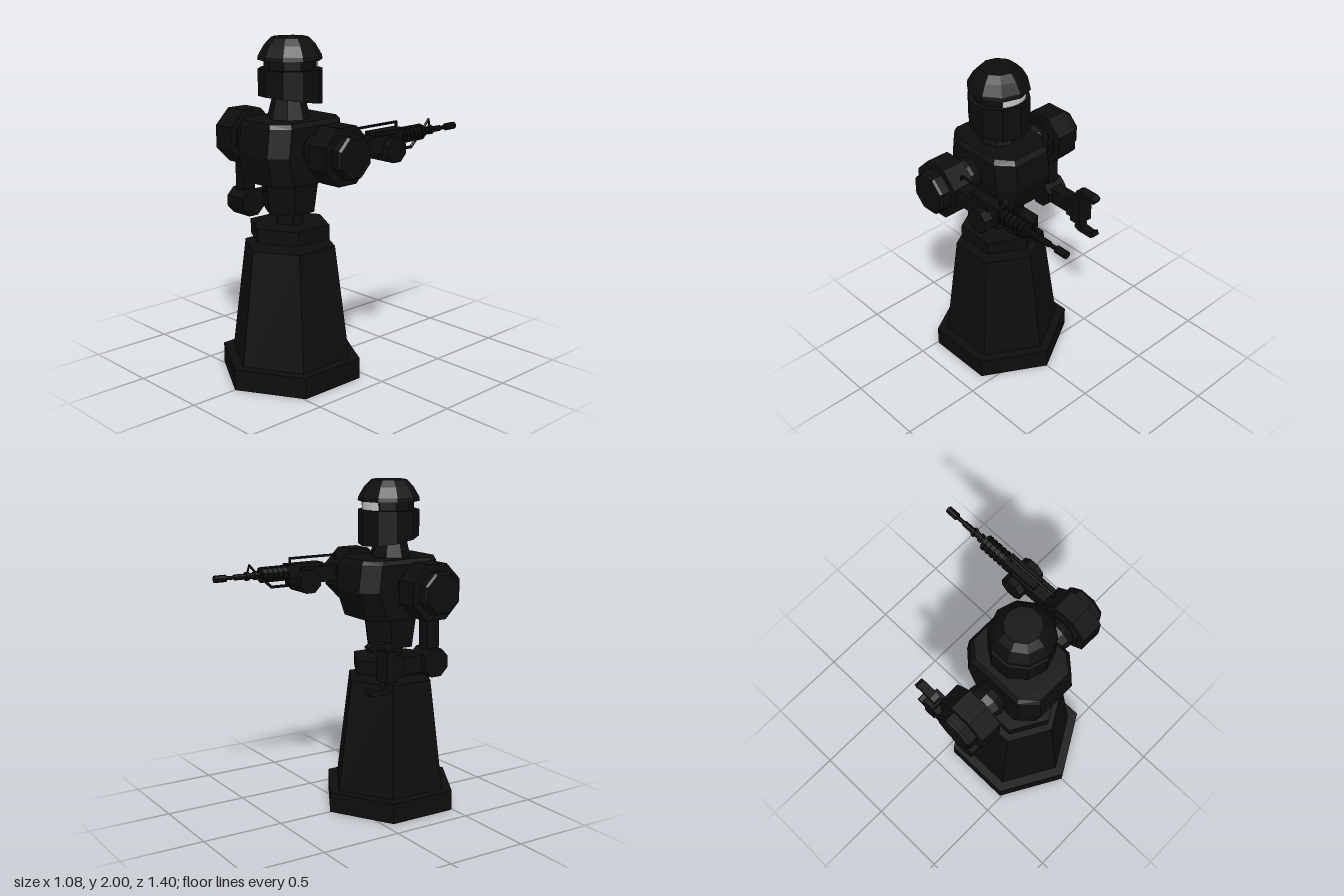
import * as THREE from 'three';
import { ConvexGeometry } from 'three/addons/geometries/ConvexGeometry.js';

const V = (x, y, z) => new THREE.Vector3(x, y, z);

export function createModel() {
  const black = new THREE.MeshStandardMaterial({ color: 0x0d0d0d, flatShading: true });
  black.name = 'black metal';
  const pale = new THREE.MeshStandardMaterial({ color: 0xc8c8c8, side: THREE.DoubleSide });
  pale.name = 'pale visor';

  const model = new THREE.Group();
  model.name = 'sentryRobot';
  const AXIS = 0.275; // z of the body's vertical axis

  function add(name, geo, x = 0, y = 0, z = 0, parent = model, mat = black) {
    const m = new THREE.Mesh(geo, mat);
    m.name = name;
    m.position.set(x, y, z);
    parent.add(m);
    return m;
  }
  function group(name) {
    const g = new THREE.Group();
    g.name = name;
    model.add(g);
    return g;
  }
  // Upright prism or frustum between two heights
  function column(name, y0, y1, r0, r1, sides = 6, z = AXIS, parent = model) {
    return add(name, new THREE.CylinderGeometry(r1, r0, y1 - y0, sides), 0, (y0 + y1) / 2, z, parent);
  }
  // Drum along x, with flats on top and in front
  function drumX(name, x, y, z, r, len, parent, sides = 8, r2 = r) {
    const g = new THREE.CylinderGeometry(r2, r, len, sides);
    g.rotateY(Math.PI / sides).rotateZ(-Math.PI / 2);
    return add(name, g, x, y, z, parent);
  }
  // Round bar along z between z0 (rear) and z1 (front)
  function barZ(name, x, y, z0, z1, r, parent, sides = 10) {
    const g = new THREE.CylinderGeometry(r, r, z0 - z1, sides).rotateX(Math.PI / 2);
    return add(name, g, x, y, (z0 + z1) / 2, parent);
  }
  // Thin straight rods joining points given as [y, z]
  function wire(name, x, pts, r, parent) {
    for (let i = 0; i < pts.length - 1; i++) {
      const a = V(x, ...pts[i]), b = V(x, ...pts[i + 1]);
      const m = add(name, new THREE.CylinderGeometry(r, r, a.distanceTo(b) + r, 6), 0, 0, 0, parent);
      m.position.copy(a).add(b).multiplyScalar(0.5);
      m.quaternion.setFromUnitVectors(V(0, 1, 0), b.sub(a).normalize());
    }
  }

  // Hexagonal pedestal and waist
  column('pedestalFoot', 0, 0.125, 0.43, 0.43);
  column('pedestal', 0.125, 0.805, 0.365, 0.276);
  column('waistColumn', 0.8, 1.01, 0.084, 0.084);
  column('waistPlate', 0.845, 0.93, 0.242, 0.242);
  column('abdomen', 1.0, 1.2, 0.15, 0.177);

  // Chest: levels of [y, half width, front z, back z], with cut corners
  const chest = [];
  for (const [y, w, f, b] of [[1.19, 0.205, 0.03, 0.51], [1.36, 0.207, -0.03, 0.545],
    [1.52, 0.207, -0.01, 0.525], [1.545, 0.185, 0.01, 0.515]]) {
    for (const s of [-1, 1]) {
      chest.push(V(s * w, y, f + 0.09), V(s * w * 0.6, y, f), V(s * w * 0.6, y, b), V(s * w, y, b - 0.09));
    }
  }
  add('chest', new ConvexGeometry(chest));

  // Neck and head
  const HEAD = 0.262;
  column('neck', 1.54, 1.72, 0.125, 0.08, 8);
  const head = group('head');
  const jaw = new THREE.CylinderGeometry(0.183, 0.183, 0.18, 10);
  const p = jaw.attributes.position;
  for (let i = 0; i < p.count; i++) {
    // the lower rim drops toward the face
    if (p.getY(i) < 0) p.setY(i, -0.09 + p.getZ(i) * 0.165);
  }
  jaw.computeVertexNormals();
  add('jawGuard', jaw, 0, 1.735, HEAD, head);
  column('face', 1.8, 1.9, 0.15, 0.15, 10, HEAD, head);
  add('visor', new THREE.CylinderGeometry(0.162, 0.158, 0.075, 6, 1, true, Math.PI - 0.6, 1.2),
    0, 1.85, HEAD, head, pale);
  column('helmetRim', 1.875, 1.9, 0.185, 0.18, 10, HEAD, head);
  column('helmetCrown', 1.9, 1.96, 0.18, 0.145, 10, HEAD, head);
  column('helmetTop', 1.96, 2.0, 0.145, 0.105, 10, HEAD, head);

  // Shoulders, mirrored
  for (const s of [-1, 1]) {
    const sh = group(s > 0 ? 'leftShoulder' : 'rightShoulder');
    const y = 1.39, z = 0.27;
    const ball = add('shoulderBall', new THREE.SphereGeometry(0.11, 12, 8), s * 0.275, y, z, sh);
    ball.rotation.z = Math.PI / 2;
    drumX('shoulderDrum', s * 0.425, y, z, 0.13, 0.2, sh);
    drumX('shoulderBand', s * 0.405, y, z, 0.175, 0.14, sh);
    const [inner, outer] = [0.13, 0.118];
    drumX('shoulderCap', s * 0.5325, y, z, s > 0 ? inner : outer, 0.015, sh, 8, s > 0 ? outer : inner);
  }

  // Right arm with gripper
  const claw = group('rightArm');
  const CX = -0.408;
  add('upperArm', new THREE.BoxGeometry(0.078, 0.26, 0.085), CX, 1.16, 0.27, claw);
  drumX('elbow', CX, 0.98, 0.27, 0.088, 0.15, claw);
  add('forearm', new THREE.BoxGeometry(0.085, 0.1, 0.22), CX, 0.98, 0.15, claw);
  add('wrist', new THREE.BoxGeometry(0.1, 0.12, 0.04), CX, 0.98, 0.035, claw);
  add('palm', new THREE.BoxGeometry(0.108, 0.18, 0.075), CX, 0.985, -0.022, claw);
  for (const s of [-1, 1]) {
    // finger outline as [forward, away from palm centre]
    const pts = [[0, 0.06], [0, 0.135], [0.03, 0.15], [0.135, 0.15], [0.158, 0.135],
      [0.145, 0.105], [0.12, 0.122], [0.055, 0.115], [0.04, 0.06]];
    const shape = new THREE.Shape(pts.map(([u, v]) => new THREE.Vector2(u, s * v)));
    const g = new THREE.ExtrudeGeometry(shape, { depth: 0.055, bevelEnabled: false }).rotateY(Math.PI / 2);
    add('finger', g, CX - 0.0275, 0.975, 0, claw);
  }

  // Left arm and rifle
  const arm = group('leftArm');
  const GX = 0.4, GY = 1.43;
  add('forearm', new THREE.BoxGeometry(0.108, 0.1, 0.34), GX, 1.41, 0.03, arm);
  drumX('hand', GX, 1.375, -0.1, 0.076, 0.195, arm);

  const gun = group('rifle');
  add('receiver', new THREE.BoxGeometry(0.08, 0.085, 0.24), GX, 1.44, -0.1, gun);
  wire('carryHandle', GX, [[1.46, 0.15], [1.515, 0.13], [1.515, -0.19], [1.46, -0.19]], 0.008, gun);
  barZ('handguard', GX, GY, -0.19, -0.4, 0.042, gun);
  for (let i = 0; i < 6; i++) {
    barZ('handguardRib', GX, GY, -0.205 - i * 0.034, -0.225 - i * 0.034, 0.049, gun);
  }
  wire('foregrip', GX, [[1.4, -0.21], [1.35, -0.21], [1.35, -0.32], [1.395, -0.37]], 0.009, gun);
  barZ('barrel', GX, GY, -0.39, -0.57, 0.018, gun);
  barZ('barrelTip', GX, GY, -0.56, -0.64, 0.012, gun);
  barZ('muzzle', GX, GY, -0.625, -0.7, 0.022, gun);
  for (const z of [-0.43, -0.485]) barZ('barrelBand', GX, GY, z + 0.01, z - 0.01, 0.027, gun);
  wire('frontSight', GX, [[1.44, -0.42], [1.495, -0.468], [1.44, -0.485]], 0.007, gun);

  return model;
}
